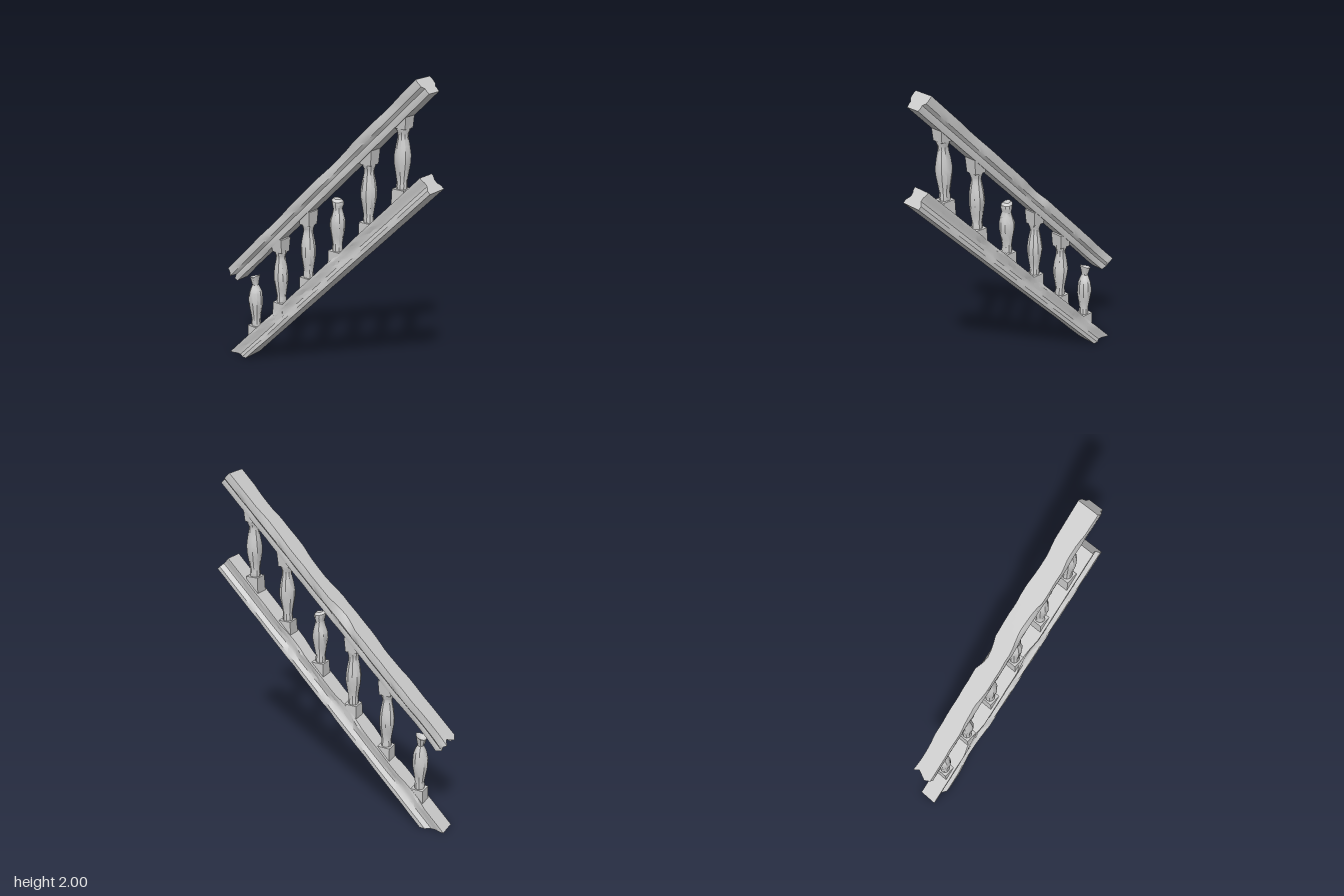
import * as THREE from 'three';
import { toCreasedNormals } from 'three/addons/utils/BufferGeometryUtils.js';

const material = new THREE.MeshStandardMaterial({ color: 0xcccccc });
const lerp = THREE.MathUtils.lerp;

function addMesh(parent, geometry, name) {
  const mesh = new THREE.Mesh(toCreasedNormals(geometry, 0.6), material);
  mesh.name = name;
  parent.add(mesh);
  return mesh;
}

// Half cross-section (x, t), t = 0 underside, 1 top; mirrored to a closed outline
const mirrorSection = half => [...half, ...half.slice().reverse().map(([x, t]) => [-x, t])];
const bump = (s, centre, width) => Math.max(0, 1 - ((s - centre) / width) ** 2);

// Loft a sloping rail; each end is given as its [z, y] underside and top corners
function railGeometry(half, start, end, chips, steps, breakEnd) {
  const section = mirrorSection(half), n = section.length;
  const pos = [], index = [];
  for (let i = 0; i <= steps; i++) {
    const s = i / steps;
    section.forEach(([x, t], j) => {
      let z = lerp(lerp(start[0][0], start[1][0], t), lerp(end[0][0], end[1][0], t), s);
      let y = lerp(lerp(start[0][1], start[1][1], t), lerp(end[0][1], end[1][1], t), s);
      let px = x;
      const inner = Math.sin(Math.PI * s) ** 0.5;
      // General weathering, kept off the clean ends
      const wob = Math.sin(s * 37 + j * 1.7) + Math.sin(s * 71 + j * 2.9);
      px *= 1 - 0.035 * inner * Math.max(0, wob);
      let drop = 0.003 * inner * wob * (t > 0.5 ? 1 : 0.3);
      // Chips bite into the edges of one side
      for (const [centre, width, side, depth, level] of chips) {
        const b = bump(s, centre, width) * Math.max(0, 1 - Math.abs(t - level) * 1.6);
        if (Math.sign(x) === side && Math.abs(x) > 0.03) {
          px -= side * b * depth;
          drop += b * depth * 0.5 * (level > 0.5 ? 1 : -1);
        }
      }
      z -= drop * 0.7;
      y -= drop * 0.7;
      // Splintered lower end
      if (breakEnd && i === steps) {
        const jag = 0.012 + 0.014 * Math.sin(j * 2.4);
        z += jag;
        y += jag;
      }
      pos.push(px, y, z);
    });
  }
  for (let i = 0; i < steps; i++) {
    for (let j = 0; j < n; j++) {
      const a = i * n + j, b = i * n + (j + 1) % n;
      index.push(a, a + n, b, b, a + n, b + n);
    }
  }
  const outline = section.map(([x, t]) => new THREE.Vector2(x, t));
  const last = steps * n;
  for (const [a, b, c] of THREE.ShapeUtils.triangulateShape(outline, [])) {
    index.push(a, b, c, last + a, last + c, last + b);
  }
  const g = new THREE.BufferGeometry();
  g.setAttribute('position', new THREE.Float32BufferAttribute(pos, 3));
  g.setIndex(index);
  return g;
}

// Turned shaft, height measured from the top of its foot block
const shaftProfile = [
  [0.030, -0.01], [0.032, 0.02], [0.029, 0.04], [0.037, 0.09], [0.047, 0.15],
  [0.047, 0.19], [0.040, 0.24], [0.030, 0.29], [0.030, 0.31], [0.039, 0.335], [0.039, 0.36],
];
const knobProfile = [
  ...shaftProfile.slice(0, 6), [0.038, 0.23], [0.029, 0.26], [0.037, 0.285],
  [0.036, 0.31], [0.022, 0.322], [0, 0.318],
];
const stumpProfile = [
  ...shaftProfile.slice(0, 6), [0.044, 0.235], [0.034, 0.26], [0.021, 0.285],
  [0.026, 0.31], [0.035, 0.345], [0, 0.318],
];

function shaftGeometry(profile, seed, broken) {
  const g = new THREE.LatheGeometry(profile.map(p => new THREE.Vector2(...p)), 10);
  const p = g.attributes.position;
  for (let i = 0; i < p.count; i++) {
    let x = p.getX(i), y = p.getY(i), z = p.getZ(i);
    // Small carved irregularities
    const k = 1 - 0.06 * Math.max(0, Math.sin(x * 60 + y * 25 + seed * 2) * Math.cos(z * 55 + seed));
    x *= k;
    z *= k;
    if (broken && y > 0.22) {
      // Bite out of the downhill side and an uneven broken top
      if (z < -0.01 && y < 0.29) z *= 0.8;
      if (y > 0.3) y += 0.35 * z * broken - 0.15 * Math.abs(x);
    }
    p.setXYZ(i, x, y, z);
  }
  return g;
}

// Square block with a flared top or foot
function blockGeometry(bottomWidth, topWidth, y0, y1) {
  const g = new THREE.CylinderGeometry(topWidth * Math.SQRT1_2, bottomWidth * Math.SQRT1_2, y1 - y0, 4);
  return g.rotateY(Math.PI / 4).translate(0, (y0 + y1) / 2, 0);
}

export function createModel() {
  const model = new THREE.Group();
  model.name = 'stairRailing';

  // Handrail: wide cap over a narrower underside
  addMesh(model, railGeometry(
    [[0.0, 0], [0.046, 0], [0.05, 0.22], [0.048, 0.36], [0.066, 0.52], [0.069, 0.76], [0.066, 1], [0.03, 1], [0.0, 1.0]]
      .filter(([x]) => x > 0),
    [[0.74, 1.93], [0.665, 2.0]], [[-0.705, 0.515], [-0.775, 0.585]],
    [
      [0.52, 0.06, 1, 0.026, 1], [0.38, 0.09, -1, 0.022, 1], [0.12, 0.06, -1, 0.012, 1],
      [0.2, 0.07, 1, 0.01, 1], [0.92, 0.07, 1, 0.014, 0.8], [0.7, 0.08, -1, 0.012, 1],
      [0.86, 0.08, -1, 0.014, 0], [0.9, 0.1, 1, 0.012, 0],
    ], 48, true), 'handrail');

  // Bottom rail: waisted sides, cut level where it meets the floor
  addMesh(model, railGeometry(
    [[0.067, 0], [0.067, 0.22], [0.046, 0.45], [0.046, 0.65], [0.057, 0.85], [0.057, 1], [0.025, 1]],
    [[0.78, 1.4], [0.705, 1.475]], [[-0.62, 0], [-0.77, 0]],
    [
      [0.38, 0.06, -1, 0.02, 1], [0.3, 0.05, 1, 0.014, 1], [0.56, 0.06, 1, 0.018, 1],
      [0.72, 0.06, -1, 0.018, 1], [0.85, 0.06, 1, 0.016, 1], [0.82, 0.1, -1, 0.014, 0],
    ], 48, false), 'bottomRail');

  // Six balusters down the slope; the third and last are snapped off
  for (let i = 0; i < 6; i++) {
    const z = 0.55 - i * 0.226;
    const baluster = new THREE.Group();
    baluster.name = `baluster${i + 1}`;
    baluster.position.set(0, z + (i === 0 ? 0.825 : 0.81), z);
    model.add(baluster);
    const broken = i === 2 ? -0.4 : i === 5 ? 1 : 0;
    const profile = i === 2 ? knobProfile : i === 5 ? stumpProfile : shaftProfile;
    addMesh(baluster, blockGeometry(0.084, 0.078, -0.115, 0), 'footBlock');
    addMesh(baluster, shaftGeometry(profile, i, broken), 'shaft');
    if (!broken) addMesh(baluster, blockGeometry(0.074, 0.086, 0.34, 0.43), 'topBlock');
  }
  return model;
}
